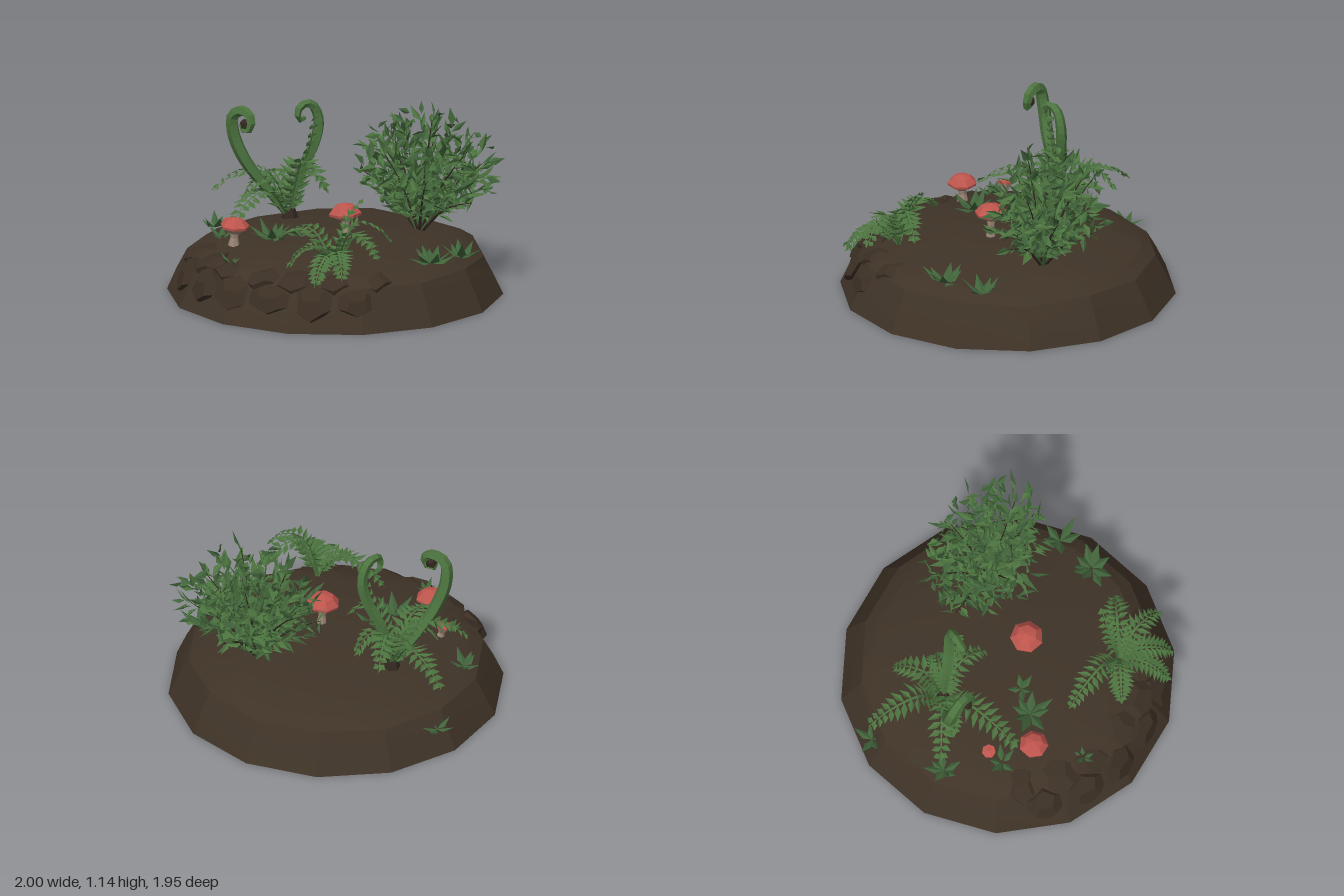
import * as THREE from 'three';
import { toCreasedNormals } from 'three/addons/utils/BufferGeometryUtils.js';

const V = (x, y, z) => new THREE.Vector3(x, y, z);
const UP = V(0, 1, 0);
const mat = (name, color, side = THREE.FrontSide) => {
  const m = new THREE.MeshStandardMaterial({ color, side, flatShading: name !== 'soil' });
  m.name = name;
  return m;
};

// Small seeded random numbers
let seed = 7;
const rnd = (a = 0, b = 1) => {
  seed = (seed * 16807) % 2147483647;
  return a + (b - a) * (seed / 2147483647);
};

// Mound outline as [radius, height], also used to stand things on the ground
const PROFILE = [[0, 0], [1, 0], [0.94, 0.13], [0.88, 0.24], [0.8, 0.29], [0.62, 0.335], [0.32, 0.362], [0, 0.375]];
function ground(x, z) {
  const r = Math.hypot(x, z);
  for (let i = 2; i < PROFILE.length; i++) {
    const [r0, y0] = PROFILE[i - 1], [r1, y1] = PROFILE[i];
    if (r >= r1) return y0 + (y1 - y0) * (Math.min(r, r0) - r0) / (r1 - r0);
  }
  return 0.375;
}

// Collects loose triangles for foliage
class Foliage {
  constructor() { this.p = []; }
  tri(...pts) { for (const v of pts) this.p.push(v.x, v.y, v.z); }
  // Kite leaf folded along its middle
  leaf(base, dir, side, len, width, fold = 0.25) {
    const n = V().crossVectors(dir, side).normalize();
    const tip = base.clone().addScaledVector(dir, len);
    const edge = (s) => base.clone().addScaledVector(dir, len * 0.4)
      .addScaledVector(side, s * width / 2).addScaledVector(n, width * fold);
    this.tri(base, edge(1), tip);
    this.tri(base, tip, edge(-1));
  }
  // Curved rib with pairs of pointed leaflets
  frond(pts, count, leafLen, leafWidth, ribWidth = 0.014, start = 0.15) {
    const curve = new THREE.CatmullRomCurve3(pts);
    let prev = null;
    for (let i = 0; i <= count; i++) {
      const t = i / count, p = curve.getPointAt(t), tan = curve.getTangentAt(t);
      const side = V().crossVectors(tan, UP);
      if (side.length() < 0.05) side.set(1, 0, 0);
      side.normalize();
      const w = ribWidth * (1 - 0.8 * t);
      const l = p.clone().addScaledVector(side, -w), r = p.clone().addScaledVector(side, w);
      if (prev) { this.tri(prev[0], prev[1], r); this.tri(prev[0], r, l); }
      prev = [l, r];
      if (t < start) continue;
      const len = leafLen * (0.3 + 0.7 * Math.sin(Math.PI * (0.2 + 0.75 * t))) * rnd(0.85, 1.15);
      for (const s of [-1, 1]) {
        const d = side.clone().multiplyScalar(s).addScaledVector(tan, 0.5).addScaledVector(UP, rnd(-0.2, 0.1)).normalize();
        this.leaf(p, d, tan.clone().addScaledVector(d, -tan.dot(d)).normalize(), len, leafWidth);
      }
    }
    this.leaf(curve.getPointAt(0.97), curve.getTangentAt(1), V(0.7, 0, 0.7), leafLen * 0.6, leafWidth);
  }
  mesh(name, material) {
    const g = new THREE.BufferGeometry();
    g.setAttribute('position', new THREE.Float32BufferAttribute(this.p, 3));
    g.computeVertexNormals();
    const m = new THREE.Mesh(g, material);
    m.name = name;
    return m;
  }
}

// Tube whose radius follows a rule along its length
function taperedTube(pts, radius, segs = 18, sides = 5) {
  const curve = new THREE.CatmullRomCurve3(pts);
  const g = new THREE.TubeGeometry(curve, segs, 1, sides);
  const pos = g.attributes.position, v = V();
  for (let i = 0; i < pos.count; i++) {
    const t = Math.floor(i / (sides + 1)) / segs, c = curve.getPointAt(t);
    v.fromBufferAttribute(pos, i).sub(c).multiplyScalar(radius(t)).add(c);
    pos.setXYZ(i, v.x, v.y, v.z);
  }
  g.computeVertexNormals();
  return g;
}

export function createModel() {
  const root = new THREE.Group();
  const soil = mat('soil', 0x3f3327), rock = mat('rock soil', 0x3b2f24);
  const green = mat('leaf green', 0x4c733f, THREE.DoubleSide);
  const deep = mat('deep green', 0x40633a, THREE.DoubleSide);
  const twig = mat('twig brown', 0x33261f, THREE.DoubleSide);
  const red = mat('cap red', 0xbd554d), cream = mat('stalk cream', 0x9a8676);
  const add = (name, geo, material, parent = root) => {
    const m = new THREE.Mesh(geo, material);
    m.name = name;
    parent.add(m);
    return m;
  };

  // Fourteen-sided mound
  const lathe = new THREE.LatheGeometry(PROFILE.map(([r, y]) => new THREE.Vector2(r, y)), 14, Math.PI / 14);
  const lp = lathe.attributes.position;
  for (let i = 0; i < lp.count; i++) {
    const x = lp.getX(i), y = lp.getY(i), z = lp.getZ(i);
    if (y > 0.01 && y < 0.37) lp.setY(i, y + 0.012 * Math.sin(x * 9 + z * 5));
  }
  add('mound', toCreasedNormals(lathe, 0.35), soil);

  // Cracked slabs sunk into the front of the mound
  for (let i = 0; i < 13; i++) {
    const a = -0.95 + i * 0.145, r = i % 2 ? 0.9 : 0.79;
    const x = r * Math.sin(a), z = r * Math.cos(a);
    const s = add('slab', new THREE.DodecahedronGeometry(1, 0), rock);
    s.scale.set(rnd(0.1, 0.15), 0.045, rnd(0.09, 0.13));
    s.position.set(x, ground(x, z) - 0.035, z);
    s.rotation.set(i % 2 ? 1.05 : 0.35, a, rnd(-0.2, 0.2), 'YXZ');
  }

  // Bush: stems fan out from one root and carry pointed leaves
  const root0 = V(0.38, 0.32, -0.34), lush = new Foliage(), shade = new Foliage();
  const bushStems = new THREE.Group();
  bushStems.name = 'bushStems';
  root.add(bushStems);
  for (let i = 0; i < 64; i++) {
    const a = i * 2.39996, h = 1 - 1.15 * ((i + 0.5) / 64), q = Math.sqrt(1 - h * h);
    const k = rnd(0.82, 1);
    const end = V(0.4 + 0.46 * q * Math.cos(a) * k, Math.max(0.42, 0.64 + 0.44 * h * k), -0.38 + 0.33 * q * Math.sin(a) * k);
    const mid = root0.clone().lerp(end, 0.5).add(V(0, 0.06, 0));
    const stem = new THREE.CatmullRomCurve3([root0, mid, end]);
    if (i % 3 === 0) add('bushStem', taperedTube([root0, mid, end], (t) => 0.011 * (1 - 0.8 * t), 5, 4), i % 2 ? twig : deep, bushStems);
    for (let j = 0; j < 13; j++) {
      const t = 0.28 + 0.72 * j / 12, p = stem.getPointAt(t);
      const d = stem.getTangentAt(t).multiplyScalar(0.6).add(V(rnd(-1, 1), rnd(-0.7, 0.9), rnd(-1, 1))).normalize();
      const side = V().crossVectors(d, V(rnd(-1, 1), rnd(-1, 1), rnd(-1, 1))).normalize();
      (j % 3 ? lush : shade).leaf(p, d, side, rnd(0.07, 0.13), rnd(0.03, 0.055));
    }
  }
  root.add(lush.mesh('bushLeaves', green), shade.mesh('bushInnerLeaves', deep));

  // Left fern with arching fronds
  const fern = new Foliage(), c = V(-0.42, 0.34, -0.2);
  const arch = (f, base, x, y, z, n, len, w) => f.frond([base,
    V(base.x * 0.6 + x * 0.4, Math.max(base.y, y) + 0.1, base.z * 0.6 + z * 0.4),
    V(base.x * 0.2 + x * 0.8, y + 0.07, base.z * 0.2 + z * 0.8), V(x, y, z)], n, len, w);
  for (const [x, y, z] of [[-0.5, 0.46, 0.32], [-0.14, 0.62, -0.1], [-0.8, 0.47, -0.46], [-0.8, 0.54, 0.0], [-0.45, 0.55, -0.5], [-0.62, 0.5, -0.02], [-0.26, 0.52, -0.34]])
    arch(fern, c, x, y, z, 13, 0.11, 0.04);
  // Leaflets up the two curled stems
  fern.frond([c, V(-0.37, 0.6, -0.2), V(-0.28, 0.8, -0.19), V(-0.24, 0.98, -0.18)], 12, 0.06, 0.04);
  fern.frond([c, V(-0.52, 0.5, -0.14), V(-0.62, 0.68, -0.06), V(-0.68, 0.82, -0.01)], 9, 0.05, 0.035);
  root.add(fern.mesh('leftFern', green));

  // Curled fern heads
  const curl = (t) => 0.014 + 0.026 * Math.sin(Math.PI * Math.min(1, t * 0.95));
  add('curledStem', taperedTube([c, V(-0.53, 0.52, -0.13), V(-0.64, 0.72, -0.04), V(-0.69, 0.88, 0), V(-0.68, 1.0, 0.02),
    V(-0.62, 1.035, 0.03), V(-0.55, 1.01, 0.05), V(-0.545, 0.94, 0.06), V(-0.59, 0.925, 0.06), V(-0.605, 0.965, 0.06)], curl, 26), green);
  add('curledStem', taperedTube([c, V(-0.37, 0.6, -0.21), V(-0.28, 0.8, -0.24), V(-0.25, 0.95, -0.25), V(-0.27, 1.05, -0.22),
    V(-0.3, 1.075, -0.17), V(-0.32, 1.04, -0.12), V(-0.32, 0.98, -0.13), V(-0.31, 0.98, -0.18)], (t) => curl(t) * 0.85, 24), green);
  const heart = add('curlHeart', new THREE.DodecahedronGeometry(0.035), twig);
  heart.position.set(-0.58, 0.96, 0.055);
  const crown = add('fernCrown', new THREE.CylinderGeometry(0.03, 0.06, 0.08, 6), twig);
  crown.position.set(c.x, 0.37, c.z);

  // Front fern, some fronds spilling over the edge
  const front = new Foliage(), b = V(0.32, 0.33, 0.58);
  for (const [x, y, z] of [[-0.1, 0.43, 0.5], [0.64, 0.46, 0.66], [0.36, 0.32, 0.88], [0.58, 0.5, 0.4], [0.1, 0.36, 0.72], [0.5, 0.36, 0.82]])
    arch(front, b, x, y, z, 13, 0.1, 0.035);
  front.frond([b, V(0.33, 0.5, 0.53), V(0.36, 0.63, 0.48), V(0.4, 0.7, 0.42)], 9, 0.08, 0.035);
  root.add(front.mesh('frontFern', green));

  // Small sprigs: [x, z, leaf count, leaf length]
  const sprigs = new Foliage();
  for (const [x, z, n, len] of [[0.74, 0.15, 9, 0.15], [-0.26, 0.3, 8, 0.14], [-0.32, 0.7, 5, 0.08], [-0.8, -0.47, 5, 0.11], [-0.6, 0.3, 6, 0.1], [-0.8, 0.02, 7, 0.12], [-0.15, 0.18, 5, 0.1], [0.8, -0.1, 6, 0.14]])
    for (let i = 0; i < n; i++) {
      const a = i * 2.4 + x * 5, d = V(Math.cos(a), rnd(0.25, 1), Math.sin(a)).normalize();
      sprigs.leaf(V(x, ground(x, z), z), d, V(-Math.sin(a), 0, Math.cos(a)), len * rnd(0.8, 1.25), len * 0.4);
    }
  root.add(sprigs.mesh('sprigs', deep));

  // Mushrooms: [x, z, cap radius, cap rim height, stalk radius, lean]
  for (const [x, z, r, rim, sr, lean] of [[0.115, 0.07, 0.1, 0.13, 0.028, 0.06], [-0.45, 0.43, 0.088, 0.1, 0.032, -0.06], [-0.58, 0.215, 0.042, 0.07, 0.025, 0.25]]) {
    const g = new THREE.Group();
    g.name = 'mushroom';
    g.position.set(x, ground(x, z) - 0.01, z);
    g.rotation.z = lean;
    root.add(g);
    const turn = (pts) => new THREE.LatheGeometry(pts.map(([a, y]) => new THREE.Vector2(a, y)), 7, x);
    add('stalk', turn([[sr * 1.1, 0], [sr * 0.75, rim * 0.5], [sr, rim + 0.01]]), cream, g);
    add('gills', turn([[sr * 0.9, rim - 0.025], [r * 0.97, rim + 0.012]]), cream, g);
    add('cap', turn([[r * 0.97, rim + 0.01], [r, rim + 0.025], [r * 0.62, rim + r * 0.68], [0, rim + r * 0.85]]), red, g);
  }
  return root;
}
